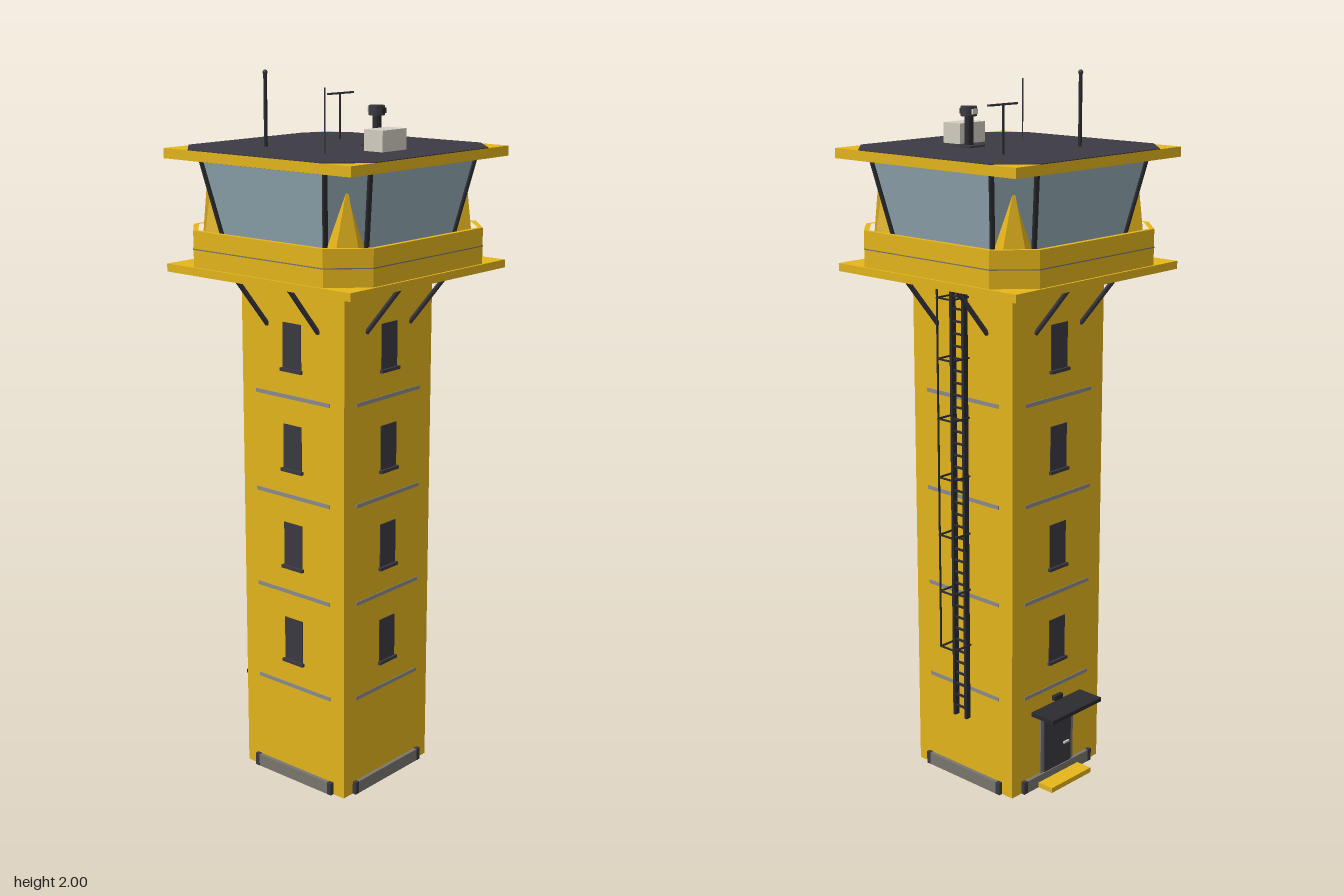
import * as THREE from 'three';

const mat = (name, color, double = false) => {
  const m = new THREE.MeshStandardMaterial({ color });
  m.name = name;
  if (double) m.side = THREE.DoubleSide;
  return m;
};

export function createModel() {
  const yellow = mat('yellow paint', 0xe6b61c);
  const dark = mat('dark slate', 0x3c3a42);
  const steel = mat('black steel', 0x2b2b30);
  const grey = mat('concrete grey', 0x7a766f);
  const joint = mat('joint grey', 0x8c8c8e);
  const glass = mat('tinted glass', 0x94abb6, true);
  const pale = mat('pale grey', 0xd4cfc3);

  const tower = new THREE.Group();
  tower.name = 'controlTower';

  const add = (parent, name, geo, material, x = 0, y = 0, z = 0) => {
    const m = new THREE.Mesh(geo, material);
    m.name = name;
    m.position.set(x, y, z);
    parent.add(m);
    return m;
  };
  const box = (p, name, material, w, h, d, x, y, z) =>
    add(p, name, new THREE.BoxGeometry(w, h, d), material, x, y, z);
  const post = (p, name, material, r, y0, y1, x, z, n = 10) =>
    add(p, name, new THREE.CylinderGeometry(r, r, y1 - y0, n), material, x, (y0 + y1) / 2, z);
  // Straight rod between two points
  const rod = (p, name, material, r, a, b, n = 8) => {
    const d = b.clone().sub(a);
    const m = add(p, name, new THREE.CylinderGeometry(r, r, d.length(), n), material);
    m.position.copy(a).add(b).multiplyScalar(0.5);
    m.quaternion.setFromUnitVectors(new THREE.Vector3(0, 1, 0), d.normalize());
  };
  const V = (x, y, z) => new THREE.Vector3(x, y, z);

  // Octagon corners: half width a, chamfer starting at c
  const octagon = (a, c) => [[c, a], [a, c], [a, -c], [c, -a], [-c, -a], [-a, -c], [-a, c], [-c, a]];
  const octShape = (a, c) => new THREE.Shape(octagon(a, c).map(([x, z]) => new THREE.Vector2(x, z)));
  const slab = (name, material, a, c, y0, y1, hole) => {
    const s = octShape(a, c);
    if (hole) s.holes.push(octShape(...hole));
    const g = new THREE.ExtrudeGeometry(s, { depth: y1 - y0, bevelEnabled: false });
    g.rotateX(-Math.PI / 2);
    add(tower, name, g, material, 0, y0, 0);
  };

  // Shaft
  box(tower, 'shaft', yellow, 0.37, 1.47, 0.37, 0, 0.735, 0);

  // Details repeated on the four walls: front, left, back, right
  for (let k = 0; k < 4; k++) {
    const wall = new THREE.Group();
    wall.name = ['frontWall', 'leftWall', 'backWall', 'rightWall'][k];
    wall.rotation.y = k * Math.PI / 2;
    tower.add(wall);

    box(wall, 'plinth', grey, 0.29, 0.036, 0.012, 0, 0.018, 0.19);
    for (const s of [-1, 1]) {
      box(wall, 'plinthEnd', dark, 0.014, 0.037, 0.013, s * 0.139, 0.0185, 0.19);
      rod(wall, 'strut', dark, 0.007, V(s * 0.092, 1.33, 0.183), V(s * 0.092, 1.468, 0.3));
    }
    for (let i = 0; i < 4; i++) {
      box(wall, 'bandJoint', joint, 0.27, 0.011, 0.004, 0, 0.29 + i * 0.283, 0.185);
      if (k === 1) continue;
      const y = 0.43 + i * 0.283;
      box(wall, 'window', dark, 0.066, 0.13, 0.004, 0, y, 0.185);
      box(wall, 'windowSill', dark, 0.076, 0.009, 0.012, 0, y - 0.065, 0.188);
    }
  }

  // Back entrance
  const entrance = new THREE.Group();
  entrance.name = 'entrance';
  entrance.rotation.y = Math.PI;
  tower.add(entrance);
  box(entrance, 'doorFrame', grey, 0.14, 0.19, 0.006, 0, 0.11, 0.187);
  box(entrance, 'door', dark, 0.115, 0.18, 0.006, 0, 0.105, 0.19);
  box(entrance, 'doorHandle', pale, 0.022, 0.006, 0.006, 0.035, 0.1, 0.195);
  box(entrance, 'doorCanopy', steel, 0.21, 0.012, 0.085, 0, 0.232, 0.224);
  box(entrance, 'doorLamp', steel, 0.035, 0.014, 0.014, 0, 0.253, 0.19);
  box(entrance, 'doorStep', yellow, 0.17, 0.015, 0.065, 0, 0.0075, 0.214);

  // Ladder with safety cage
  const ladder = new THREE.Group();
  ladder.name = 'ladder';
  tower.add(ladder);
  for (const s of [-1, 1]) {
    box(ladder, 'ladderRail', steel, 0.016, 1.27, 0.009, 0.197, 0.835, s * 0.022);
    box(ladder, 'cageBar', steel, 0.004, 1.045, 0.004, 0.25, 0.947, s * 0.027);
  }
  for (let y = 0.23; y < 1.46; y += 0.034) {
    box(ladder, 'rung', steel, 0.006, 0.005, 0.044, 0.199, y, 0);
  }
  for (let i = 0; i < 7; i++) {
    const y = 0.425 + i * 0.166;
    for (const s of [-1, 1]) {
      box(ladder, 'cageArm', steel, 0.064, 0.004, 0.005, 0.218, y, s * 0.027);
    }
    box(ladder, 'cageHoop', steel, 0.005, 0.004, 0.059, 0.25, y, 0);
  }

  // Gallery deck and parapet
  box(tower, 'deck', yellow, 0.654, 0.022, 0.654, 0, 1.476, 0);
  slab('parapet', yellow, 0.32, 0.23, 1.487, 1.585, [0.306, 0.224]);
  slab('parapetJoint', grey, 0.321, 0.2305, 1.534, 1.537, [0.315, 0.228]);

  // Cab: flared octagonal glazing with mullions
  const ringAt = (a, c, y) => octagon(a, c).map(([x, z]) => V(x, y, z));
  const low = ringAt(0.24, 0.168, 1.487);
  const high = ringAt(0.297, 0.217, 1.77);
  for (let i = 0; i < 8; i++) {
    const j = (i + 1) % 8;
    const g = new THREE.BufferGeometry().setFromPoints(
      [low[i], low[j], high[j], low[i], high[j], high[i]]);
    g.computeVertexNormals();
    add(tower, 'cabGlass', g, glass);
    rod(tower, 'mullion', steel, 0.007, low[i], high[i]);
    rod(tower, 'headFrame', steel, 0.005, high[i], high[j]);
  }

  // Tapering corner fins: diagonal profile (distance, height, half width)
  const profile = [[0.29, 1.487, 0.076], [0.37, 1.487, 0.045], [0.349, 1.72, 0.003], [0.336, 1.72, 0.003]];
  const finPos = [];
  const face = (a, b, c, d) => finPos.push(...a, ...b, ...c, ...a, ...c, ...d);
  const sideA = profile.map(([d, y, w]) => [w, y, d]);
  const sideB = profile.map(([d, y, w]) => [-w, y, d]);
  face(sideA[3], sideA[2], sideA[1], sideA[0]);
  face(...sideB);
  for (let i = 0; i < 4; i++) {
    const j = (i + 1) % 4;
    face(sideA[i], sideA[j], sideB[j], sideB[i]);
  }
  const finGeo = new THREE.BufferGeometry();
  finGeo.setAttribute('position', new THREE.Float32BufferAttribute(finPos, 3));
  finGeo.computeVertexNormals();
  for (let k = 0; k < 4; k++) {
    add(tower, 'cornerFin', finGeo, yellow).rotation.y = Math.PI / 4 + k * Math.PI / 2;
  }

  // Roof
  box(tower, 'roof', yellow, 0.656, 0.027, 0.656, 0, 1.7835, 0);
  slab('roofCovering', dark, 0.328, 0.235, 1.797, 1.799);

  // Roof equipment
  box(tower, 'airUnit', pale, 0.098, 0.057, 0.063, 0, 1.826, 0.166);
  box(tower, 'beaconBase', dark, 0.06, 0.006, 0.06, 0.075, 1.801, 0.075);
  post(tower, 'beaconPost', steel, 0.012, 1.798, 1.885, 0.075, 0.075, 16);
  post(tower, 'beaconHead', dark, 0.022, 1.88, 1.906, 0.075, 0.075, 20);
  for (const s of [-1, 1]) {
    box(tower, 'beaconLens', s < 0 ? pale : steel, 0.02, 0.014, 0.006, 0.075, 1.893, 0.075 + s * 0.022);
  }
  post(tower, 'mast', steel, 0.005, 1.798, 1.99, -0.135, -0.135);
  add(tower, 'mastTip', new THREE.SphereGeometry(0.007, 12, 8), dark, -0.135, 1.993, -0.135);
  post(tower, 'whipAntenna', dark, 0.002, 1.798, 1.965, -0.17, 0.105);
  post(tower, 'crossAntennaPole', steel, 0.003, 1.798, 1.928, 0.148, -0.118);
  box(tower, 'crossAntennaBar', dark, 0.108, 0.005, 0.007, 0.15, 1.925, -0.118);

  return tower;
}
